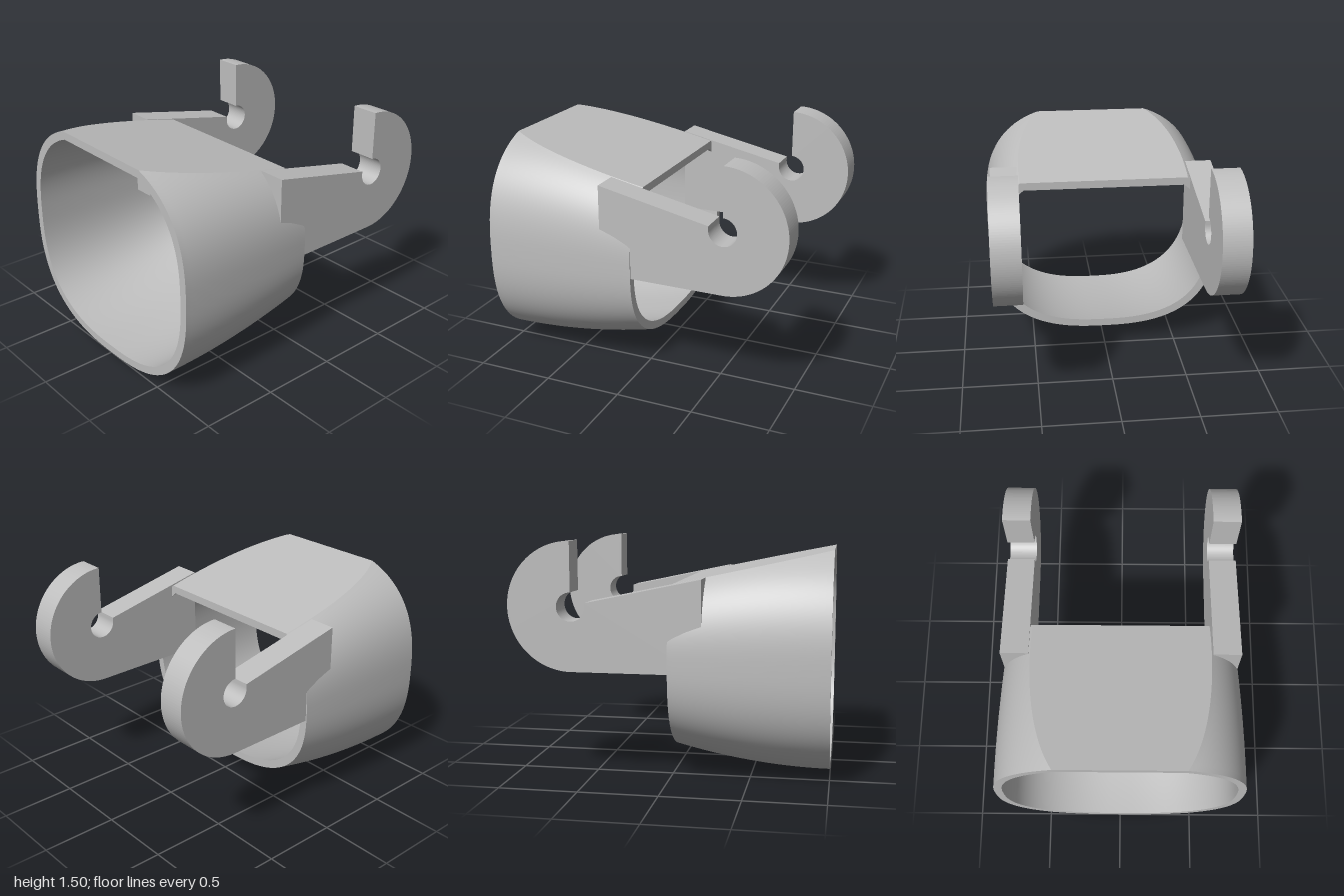
import * as THREE from 'three';

const X0 = -1, X1 = -0.01, MID = 0.745, POWER = 2.6, WALL = 0.052;
const slopeY = x => 1.23 - 0.212 * x; // sloped plane that trims the top

// Squarish oval section at x, running from the +z top corner, under, to the -z one
function section(x, inset) {
  const t = (x - X0) / (X1 - X0);
  const a = 0.812 - 0.042 * t * t - inset;
  const b = MID - 0.133 * t * t - inset;
  const start = Math.asin(((slopeY(x) - inset - MID) / b) ** (POWER / 2));
  const round = v => Math.sign(v) * Math.abs(v) ** (2 / POWER);
  const points = [], n = 96;
  for (let i = 0; i <= n; i++) {
    const angle = start - (Math.PI + 2 * start) * i / n;
    points.push([x, MID + b * round(Math.sin(angle)), a * round(Math.cos(angle))]);
  }
  return points;
}

// Surface through equal-length rows of points
function loft(rows, flip) {
  const w = rows[0].length, index = [];
  for (let i = 0; i < rows.length - 1; i++) {
    for (let j = 0; j < w - 1; j++) {
      const a = i * w + j, b = a + w, c = b + 1, d = a + 1;
      if (flip) index.push(a, c, b, a, d, c);
      else index.push(a, b, c, a, c, d);
    }
  }
  const geometry = new THREE.BufferGeometry();
  geometry.setAttribute('position', new THREE.Float32BufferAttribute(rows.flat(2), 3));
  geometry.setIndex(index);
  geometry.computeVertexNormals();
  return geometry;
}

// Fork arm with a hooked end and a round notch
function armGeometry(depth) {
  const cx = 0.595, cy = 1.097, R = 0.405, r = 0.09;
  const shape = new THREE.Shape();
  shape.moveTo(-0.22, cy - R);
  shape.lineTo(cx, cy - R);
  shape.absarc(cx, cy, R, -Math.PI / 2, Math.PI / 2, false);
  shape.lineTo(cx, cy + r);
  shape.absarc(cx, cy, r, Math.PI / 2, -Math.PI, true);
  shape.lineTo(cx - r, slopeY(cx - r));
  shape.lineTo(-0.22, slopeY(-0.22));
  return new THREE.ExtrudeGeometry(shape, { depth, bevelEnabled: false, curveSegments: 40 });
}

export function createModel() {
  const model = new THREE.Group();
  model.name = 'hookedSleeve';
  const grey = new THREE.MeshStandardMaterial({ color: 0xbebebe });
  grey.name = 'grey';
  const add = (parent, name, geometry) => {
    const mesh = new THREE.Mesh(geometry, grey);
    mesh.name = name;
    parent.add(mesh);
    return mesh;
  };

  // Tapered sleeve: curved walls, flat sloping top and end rims
  const sleeve = new THREE.Group();
  sleeve.name = 'sleeve';
  model.add(sleeve);
  const xs = Array.from({ length: 25 }, (_, i) => X0 + (X1 - X0) * i / 24);
  const outer = xs.map(x => section(x, 0));
  const inner = xs.map(x => section(x, WALL));
  const corners = rows => rows.map(row => [row[0], row[row.length - 1]]);
  const closed = row => [...row, row[0]];
  add(sleeve, 'outerWall', loft(outer, true));
  add(sleeve, 'innerWall', loft(inner, false));
  add(sleeve, 'topOuter', loft(corners(outer), false));
  add(sleeve, 'topInner', loft(corners(inner), true));
  add(sleeve, 'wideRim', loft([closed(outer[0]), closed(inner[0])], false));
  add(sleeve, 'narrowRim', loft([closed(outer[24]), closed(inner[24])], true));

  // Pair of hooked arms
  const depth = 0.18, arm = armGeometry(depth);
  add(model, 'leftHookArm', arm).position.z = 0.582;
  add(model, 'rightHookArm', arm).position.z = -0.582 - depth;
  model.children[1].name = 'frontHookArm';
  model.children[2].name = 'backHookArm';
  return model;
}
